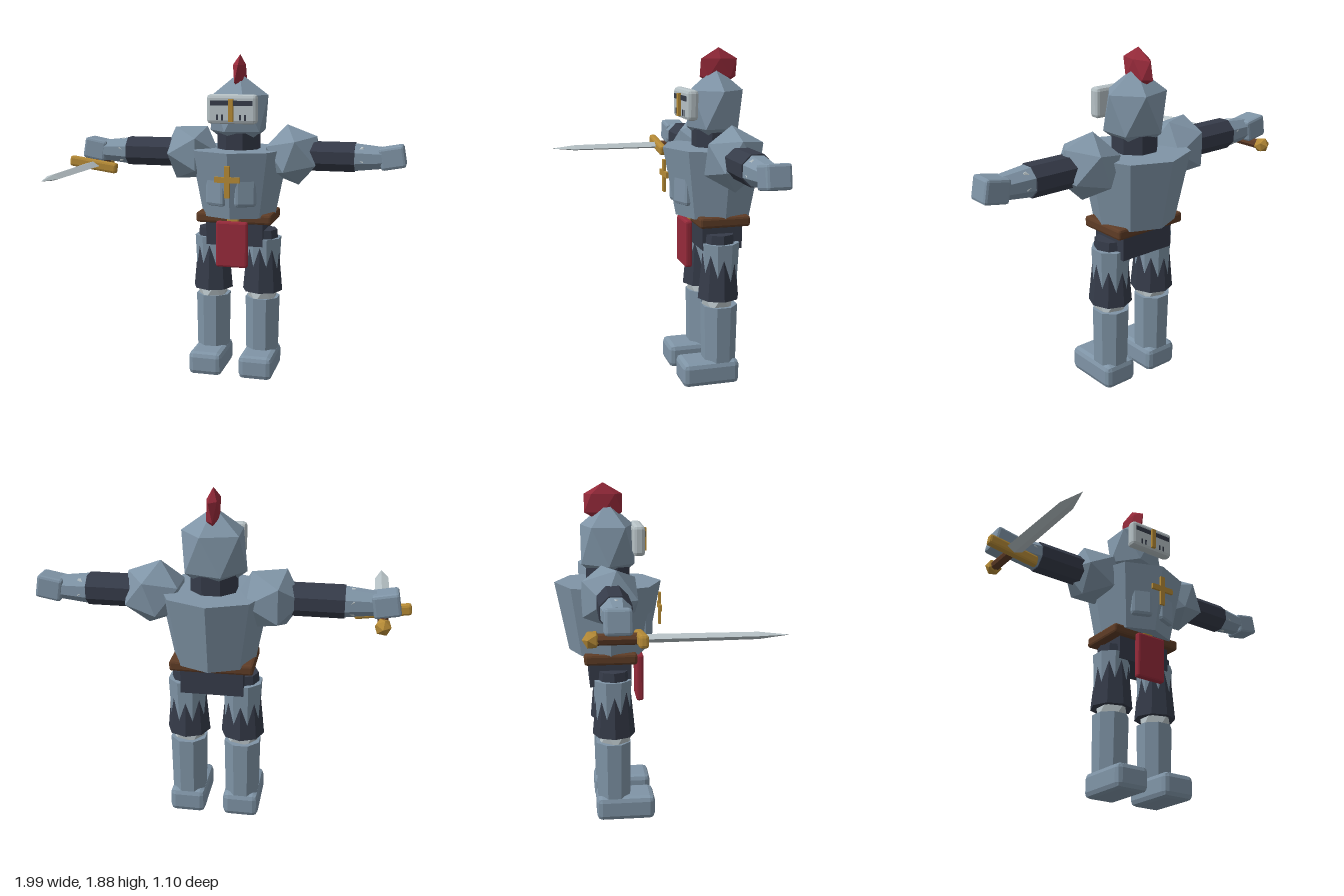
import * as THREE from 'three';
import { RoundedBoxGeometry } from 'three/addons/geometries/RoundedBoxGeometry.js';
import { ConvexGeometry } from 'three/addons/geometries/ConvexGeometry.js';

const material = (name, color) => {
  const m = new THREE.MeshStandardMaterial({ color, flatShading: true });
  m.name = name;
  return m;
};
const steel = material('steel', 0x7f94a6);
const cloth = material('dark cloth', 0x353b49);
const silver = material('light steel', 0xb6c1c5);
const red = material('red', 0x962a3a);
const gold = material('gold', 0xb58a36);
const leather = material('leather', 0x5e3c26);

const MID_X = 0.025, MID_Z = -0.255;

function add(parent, name, geometry, mat, x = 0, y = 0, z = 0, rx = 0, ry = 0, rz = 0) {
  const mesh = new THREE.Mesh(geometry, mat);
  mesh.name = name;
  mesh.position.set(x, y, z);
  mesh.rotation.set(rx, ry, rz);
  parent.add(mesh);
  return mesh;
}
function group(parent, name, x = 0, y = 0, z = 0) {
  const g = new THREE.Group();
  g.name = name;
  g.position.set(x, y, z);
  parent.add(g);
  return g;
}

const box = (w, h, d) => new THREE.BoxGeometry(w, h, d);
const bevelBox = (w, h, d, r) => new RoundedBoxGeometry(w, h, d, 1, r);
// eight-sided tapered column, optionally turned by half a side
const column = (top, bottom, h, half = false) =>
  new THREE.CylinderGeometry(top, bottom, h, 8, 1, false, half ? Math.PI / 8 : 0);

// icosahedron standing on a vertex, with a separate radius for each axis
function gem(rx, ry = rx, rz = rx) {
  const points = [new THREE.Vector3(0, ry, 0), new THREE.Vector3(0, -ry, 0)];
  for (let i = 0; i < 5; i++) {
    const a = (i / 5) * Math.PI * 2;
    const c = 0.894 * Math.cos(a), s = 0.894 * Math.sin(a);
    points.push(new THREE.Vector3(c * rx, 0.447 * ry, s * rz));
    points.push(new THREE.Vector3(-c * rx, -0.447 * ry, -s * rz));
  }
  return new ConvexGeometry(points);
}

function buildHead(body) {
  const head = group(body, 'head');
  add(head, 'neck', column(0.128, 0.128, 0.14, true), cloth, 0, 1.37, 0);
  add(head, 'helmet', gem(0.193, 0.23, 0.172), steel, 0, 1.55, 0);
  add(head, 'plume', gem(0.038, 0.11, 0.122), red, 0, 1.773, -0.02);

  // visor with eye slit, breathing slots and nose bar
  const visor = group(head, 'visor', 0, 1.58, 0.165);
  add(visor, 'visorPlate', bevelBox(0.29, 0.165, 0.065, 0.02), silver);
  add(visor, 'eyeSlit', box(0.245, 0.028, 0.008), cloth, 0, 0.035, 0.031);
  for (const x of [-0.08, -0.052, 0.052, 0.08])
    add(visor, 'breathingSlot', box(0.011, 0.032, 0.008), cloth, x, -0.045, 0.031);
  add(visor, 'noseBar', box(0.026, 0.125, 0.018), gold, 0, -0.005, 0.041);
}

function buildTorso(body) {
  const torso = group(body, 'torso');
  add(torso, 'breastplate', column(0.297, 0.222, 0.385), steel, 0, 1.15, 0);
  for (const s of [-1, 1])
    add(torso, 'chestPlate', bevelBox(0.13, 0.17, 0.1, 0.02), steel,
      s * 0.075, 1.115, 0.18, 0, s * Math.PI / 8, 0);
  add(torso, 'crossUpright', box(0.03, 0.18, 0.014), gold, 0, 1.183, 0.29);
  add(torso, 'crossBar', box(0.145, 0.032, 0.014), gold, 0, 1.195, 0.29);
  add(torso, 'belt', bevelBox(0.45, 0.06, 0.29, 0.014), leather, 0, 0.946, 0);
  add(torso, 'buckle', bevelBox(0.07, 0.05, 0.03, 0.008), gold, 0, 0.944, 0.14);
  add(torso, 'hips', box(0.34, 0.15, 0.23), cloth, 0, 0.855, 0);
  add(torso, 'tabard', bevelBox(0.187, 0.27, 0.042, 0.012), red, 0, 0.8, 0.17);
}

function buildLeg(body, side) {
  const leg = group(body, side > 0 ? 'leftLeg' : 'rightLeg', side * 0.152, 0, 0);
  // the two cones cross in a zigzag
  add(leg, 'trouser', column(0.085, 0.12, 0.37), cloth, 0, 0.687, 0.015);
  add(leg, 'thighPlate', column(0.11, 0.095, 0.31, true), steel, 0, 0.667, 0.01);
  add(leg, 'knee', gem(0.1), silver, 0, 0.48, 0.02);
  add(leg, 'shinPlate', column(0.104, 0.098, 0.35, true), steel, 0, 0.285, 0.01);
  add(leg, 'boot', bevelBox(0.2, 0.14, 0.33, 0.03), steel, 0, 0.072, 0.075);
}

// built along +y, then laid out sideways
function buildArm(body, side) {
  const arm = group(body, side > 0 ? 'leftArm' : 'rightArm', 0, 1.31, 0);
  const turn = -side * Math.PI / 2;
  add(arm, 'sleeve', column(0.088, 0.088, 0.4, true), cloth, side * 0.48, 0, 0, 0, 0, turn);
  add(arm, 'elbow', gem(0.085), silver, side * 0.69, 0, 0, 0, 0, turn);
  add(arm, 'gauntlet', column(0.064, 0.083, 0.17, true), steel, side * 0.75, 0, 0, 0, 0, turn);
  add(arm, 'hand', bevelBox(0.14, 0.125, 0.13, 0.015), steel, side * 0.888, 0.005, -0.005, 0, 0, side * 0.18);
}

function buildSword(parent) {
  const sword = group(parent, 'sword', -0.85, 1.23, 0);
  sword.rotation.z = -0.14;
  const forward = Math.PI / 2;
  add(sword, 'pommel', gem(0.046), gold, 0, 0, -0.38, forward);
  add(sword, 'grip', column(0.028, 0.028, 0.2), leather, 0, 0, -0.26, forward);
  add(sword, 'guard', bevelBox(0.3, 0.062, 0.045, 0.014), gold, 0, 0, -0.152);
  // diamond-section blade and tip
  const blade = new THREE.CylinderGeometry(0.038, 0.045, 0.55, 4).scale(1, 1, 0.46);
  add(sword, 'blade', blade, silver, 0, 0, 0.125, forward);
  const tip = new THREE.ConeGeometry(0.038, 0.15, 4).scale(1, 1, 0.46);
  add(sword, 'bladeTip', tip, silver, 0, 0, 0.475, forward);
}

export function createModel() {
  const model = new THREE.Group();
  model.name = 'knight';
  const body = group(model, 'body', MID_X, 0, MID_Z);
  buildHead(body);
  buildTorso(body);
  for (const side of [-1, 1]) {
    buildLeg(body, side);
    buildArm(body, side);
  }
  // faceted shoulder guards, each turned its own way
  add(body, 'leftShoulder', gem(0.178), steel, 0.32, 1.313, -0.005, 0, 0, 0.2);
  add(body, 'rightShoulder', new THREE.IcosahedronGeometry(0.18), steel, -0.29, 1.31, -0.01, 0, 0.38, 0);
  buildSword(model);
  return model;
}
